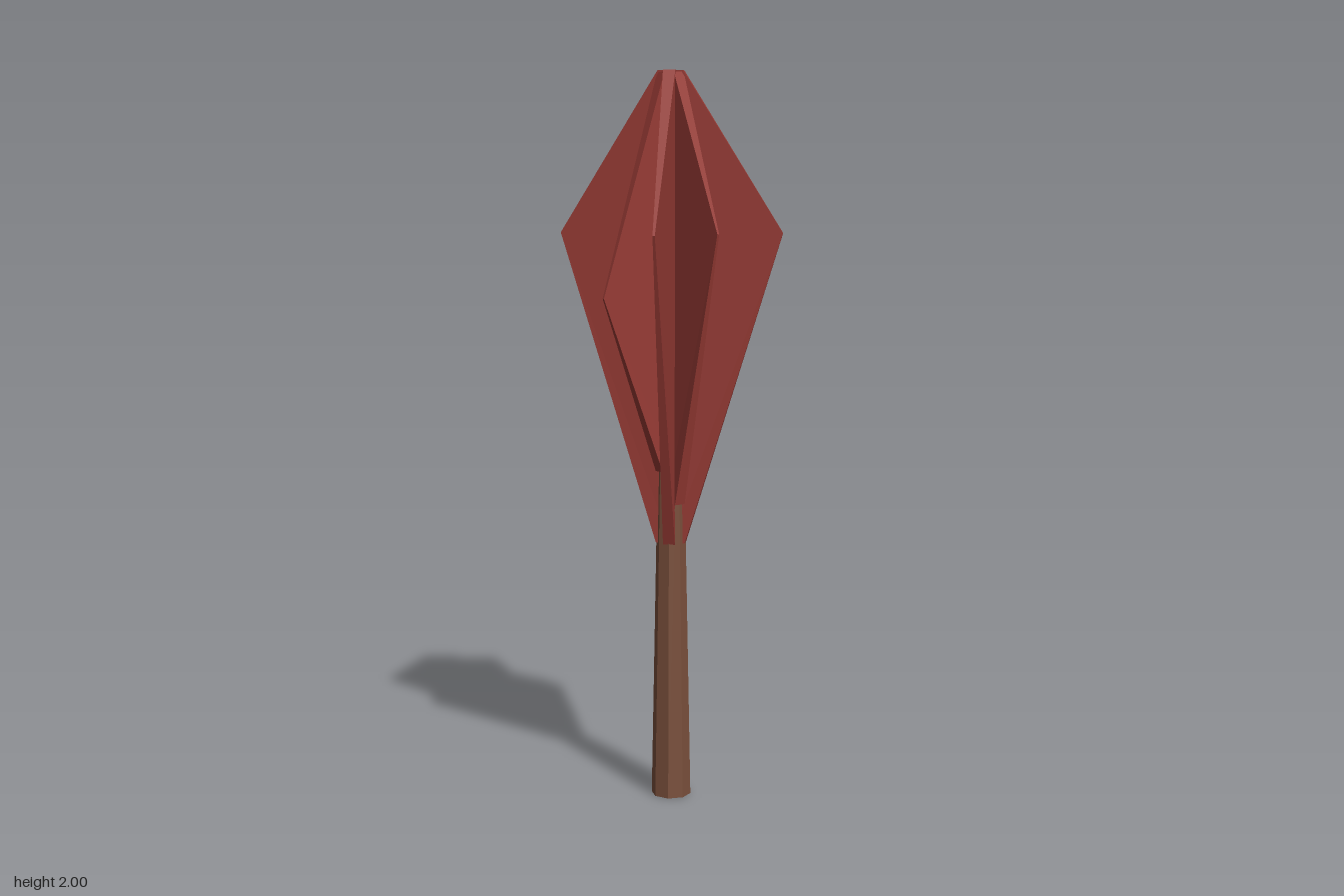
import * as THREE from 'three';

const red = new THREE.MeshStandardMaterial({ color: 0x963a34, flatShading: true });
const brown = new THREE.MeshStandardMaterial({ color: 0x7a503c, flatShading: true });

const ROOT = 0.04;          // radius where neighbouring fins meet
const ROOT_HALF = 0.0166;   // half thickness there
const TIP_HALF = 0.003;     // half thickness at the outer edge

// Kite-shaped fin along +x, thinning from the root to its outer point
function finGeometry(reach, apexY, bottomY, topY) {
  const shape = new THREE.Shape([
    [0, bottomY], [ROOT, bottomY], [reach, apexY], [0.034, topY], [0, topY],
  ].map(([x, y]) => new THREE.Vector2(x, y)));
  const geo = new THREE.ExtrudeGeometry(shape, { depth: 2, bevelEnabled: false });
  geo.translate(0, 0, -1);
  const p = geo.attributes.position;
  for (let i = 0; i < p.count; i++) {
    const t = Math.max(0, (p.getX(i) - ROOT) / (reach - ROOT));
    p.setZ(i, p.getZ(i) * THREE.MathUtils.lerp(ROOT_HALF, TIP_HALF, t));
  }
  geo.computeVertexNormals();
  return geo;
}

export function createModel() {
  const group = new THREE.Group();

  // Tapered eight-sided trunk, running up inside the fins
  const trunk = new THREE.Mesh(new THREE.CylinderGeometry(0.034, 0.055, 1.1, 8), brown);
  trunk.name = 'trunk';
  trunk.position.y = 0.55;
  trunk.rotation.y = Math.PI / 8;
  group.add(trunk);

  const addFin = (name, x, z, apexY, bottomY, topY) => {
    const fin = new THREE.Mesh(finGeometry(Math.hypot(x, z), apexY, bottomY, topY), red);
    fin.name = name;
    fin.rotation.y = Math.atan2(-z, x);
    group.add(fin);
  };

  // Four equal large fins
  for (const [x, z] of [[0.28, 0.116], [-0.116, 0.28], [-0.28, -0.116], [0.116, -0.28]]) {
    addFin('largeFin', x, z, 1.57, 0.72, 2);
  }

  // Four smaller fins between them, of varied reach and height
  addFin('smallFrontFin', 0.079, 0.191, 1.57, 0.83, 1.995);
  addFin('smallBackFin', -0.087, -0.211, 1.57, 0.83, 1.995);
  addFin('smallLeftFin', 0.206, -0.0855, 1.4, 0.92, 1.995);
  addFin('smallRightFin', -0.206, 0.0855, 1.4, 0.92, 1.995);

  return group;
}
